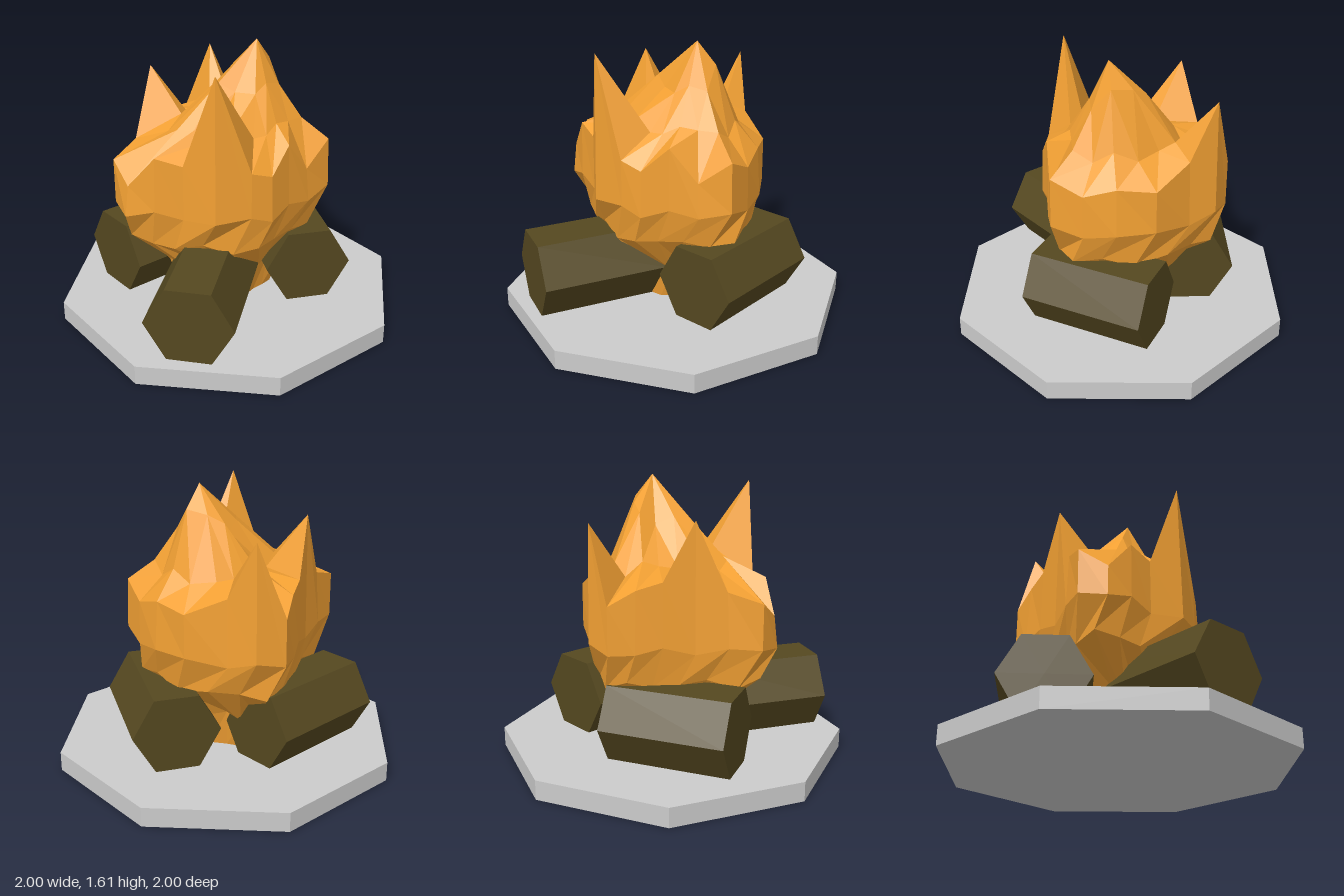
import * as THREE from 'three';

const mat = (color) => new THREE.MeshStandardMaterial({ color, flatShading: true });

// Crown rim of the fire: tongue tips and the dips between them (x, y, z)
const RIM = [
  [0.41, 1.11, 0.07], [0.39, 0.98, 0.22], [0.32, 1.02, 0.32], [0.17, 1.57, 0.44],
  [-0.02, 1.04, 0.46], [-0.16, 1.08, 0.52], [-0.31, 0.9, 0.56], [-0.45, 1.0, 0.49],
  [-0.43, 1.06, 0.3], [-0.43, 1.44, 0.13], [-0.46, 1.12, -0.04], [-0.48, 1.08, -0.18],
  [-0.51, 1.0, -0.33], [-0.38, 1.42, -0.43], [-0.22, 1.1, -0.44], [0, 1.0, -0.51],
  [0.2, 1.02, -0.44], [0.36, 0.97, -0.36], [0.5, 1.05, -0.25], [0.45, 0.92, -0.08],
].map((p) => new THREE.Vector3(...p));
const TIP = new THREE.Vector3(0.11, 1.61, -0.11);

function flameGeometry() {
  const n = RIM.length;
  const wobble = (i, k) => Math.sin(i * 2.4 + k * 1.7);
  // Bulb rings: the rim outline scaled towards the foot, odd rings turned half a step
  const bulb = (y, scale, k) => RIM.map((p, i) => {
    const v = p.clone();
    if (k % 2) v.lerp(RIM[(i + 1) % n], 0.5);
    v.multiplyScalar(scale * (1 + 0.02 * wobble(i, k)));
    v.y = y + (k ? 0.025 * wobble(i, k + 1) : 0);
    return v;
  });
  // Inner rings: from the rim in towards the central tongue
  const inner = (t, height, step, back) => RIM.map((_, i) => {
    const j = Math.floor(i / step) * step;
    const v = TIP.clone().lerp(RIM[j], t);
    v.y = height + 0.035 * wobble(j, t) + (RIM[j].z < -0.3 ? back : 0);
    return v;
  });
  const rings = [
    RIM.map(() => new THREE.Vector3(0, 0.11, 0)),
    bulb(0.11, 0.44, 0), bulb(0.32, 0.54, 2), bulb(0.54, 0.92, 3), bulb(0.74, 1.02, 4),
    RIM,
    inner(0.62, 1.16, 1, -0.02), inner(0.3, 1.37, 2, 0.08),
    RIM.map(() => TIP),
  ];
  const pos = [];
  const tri = (...corners) => corners.forEach((v) => pos.push(v.x, v.y, v.z));
  for (let k = 0; k + 1 < rings.length; k++) {
    for (let i = 0; i < n; i++) {
      const j = (i + 1) % n;
      const [a, b, c, d] = [rings[k][i], rings[k][j], rings[k + 1][i], rings[k + 1][j]];
      const skip = (p, q) => p.distanceTo(q) < 1e-6;
      if (k % 2) {
        if (!skip(a, b)) tri(a, c, b);
        if (!skip(c, d)) tri(b, c, d);
      } else {
        if (!skip(c, d)) tri(a, c, d);
        if (!skip(a, b)) tri(a, d, b);
      }
    }
  }
  const g = new THREE.BufferGeometry();
  g.setAttribute('position', new THREE.Float32BufferAttribute(pos, 3));
  g.computeVertexNormals();
  return g;
}

export function createModel() {
  const group = new THREE.Group();
  const add = (name, geometry, material) => {
    const mesh = new THREE.Mesh(geometry, material);
    mesh.name = name;
    group.add(mesh);
    return mesh;
  };

  // Eight-sided stone slab
  add('base', new THREE.CylinderGeometry(1, 1, 0.112, 8), mat(0xcccccc)).position.y = 0.056;

  // Three six-sided logs lying flat: centre x, z and axis direction x, z
  const bark = mat(0x554820);
  const logGeometry = new THREE.CylinderGeometry(0.248, 0.248, 0.708, 6).rotateZ(Math.PI / 2);
  [
    ['frontLog', 0.113, 0.488, 0.316, 0.949],
    ['backLog', 0.257, -0.312, 0.678, 0.735],
    ['rightLog', -0.443, 0.028, 0.354, -0.935],
  ].forEach(([name, x, z, dx, dz]) => {
    const log = add(name, logGeometry, bark);
    log.position.set(x, 0.326, z);
    log.rotation.y = Math.atan2(-dz, dx);
  });

  // Faceted fire
  add('flame', flameGeometry(), mat(0xf2a033));
  return group;
}
